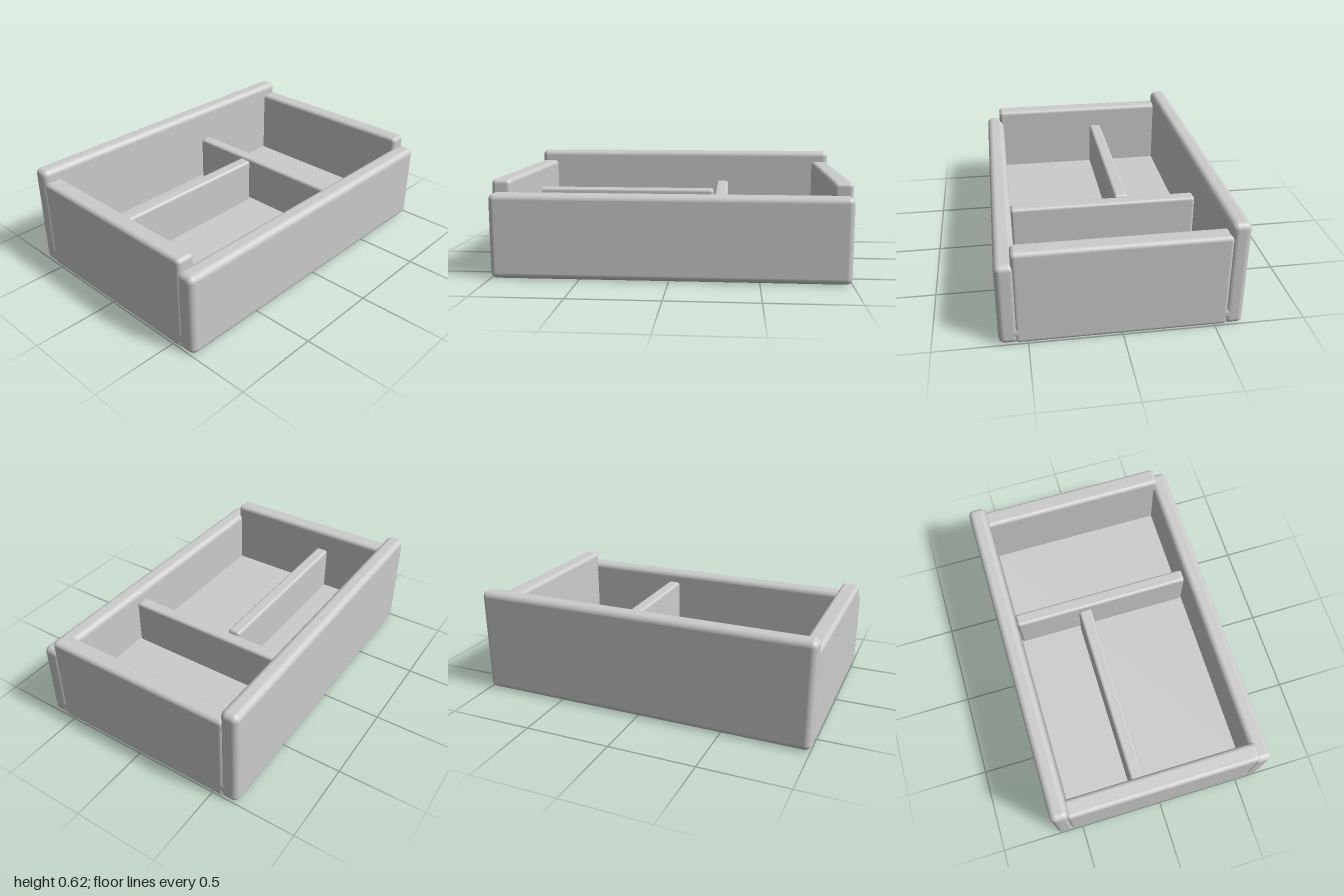
import * as THREE from 'three';
import { RoundedBoxGeometry } from 'three/addons/geometries/RoundedBoxGeometry.js';

const material = new THREE.MeshStandardMaterial({ color: 0xcccccc });

// Rounded board given by its [min, max] range on each axis
function board(name, [x0, x1], [y0, y1], [z0, z1], radius) {
  const geometry = new RoundedBoxGeometry(x1 - x0, y1 - y0, z1 - z0, 5, radius);
  const mesh = new THREE.Mesh(geometry, material);
  mesh.name = name;
  mesh.position.set((x0 + x1) / 2, (y0 + y1) / 2, (z0 + z1) / 2);
  return mesh;
}

export function createModel() {
  const tray = new THREE.Group();
  tray.name = 'dividedTray';

  // Floor with fully rounded edges
  tray.add(board('floor', [-1, 1], [0, 0.135], [-0.655, 0.655], 0.066));

  // Outer walls: low front, taller sides, tallest back
  tray.add(board('frontWall', [-1, 1], [0, 0.48], [0.545, 0.655], 0.035));
  tray.add(board('backWall', [-1, 1], [0, 0.62], [-0.655, -0.55], 0.035));
  tray.add(board('leftWall', [0.89, 1], [0, 0.55], [-0.57, 0.57], 0.025));
  tray.add(board('rightWall', [-1, -0.89], [0, 0.55], [-0.57, 0.57], 0.025));

  // Inner dividers
  tray.add(board('crossDivider', [0.235, 0.315], [0.08, 0.415], [-0.55, 0.545], 0.018));
  tray.add(board('longDivider', [-0.91, 0.225], [0.08, 0.415], [-0.16, -0.08], 0.018));

  return tray;
}
